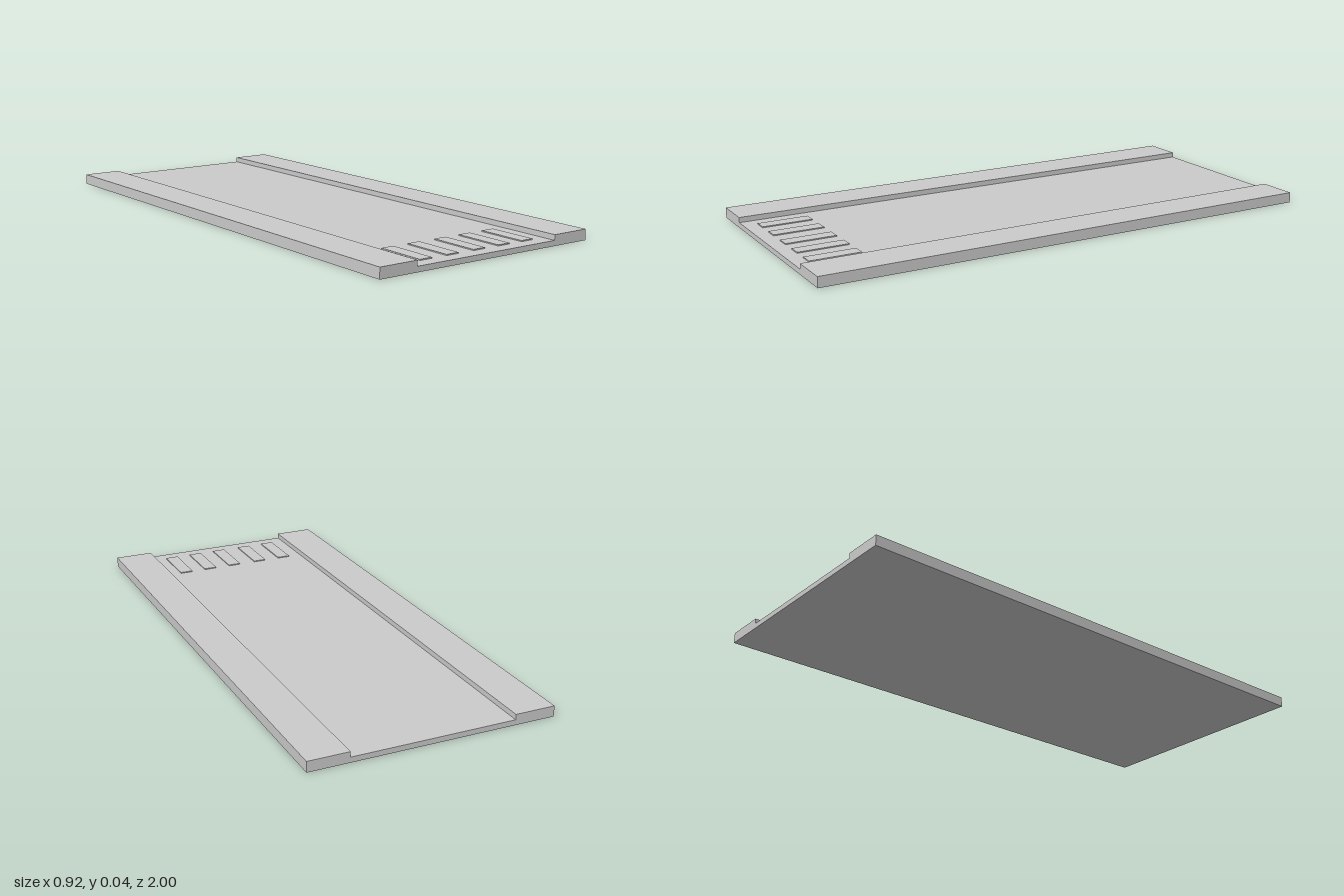
import * as THREE from 'three';

export function createModel() {
  const group = new THREE.Group();
  const material = new THREE.MeshStandardMaterial({ color: 0xcccccc, flatShading: true });

  const halfWidth = 0.46, halfInner = 0.307, floorY = 0.02, railY = 0.04;

  // Channel plate: shallow U cross-section running the full length
  const profile = new THREE.Shape([
    [-halfWidth, 0], [halfWidth, 0], [halfWidth, railY], [halfInner, railY],
    [halfInner, floorY], [-halfInner, floorY], [-halfInner, railY], [-halfWidth, railY],
  ].map(([x, y]) => new THREE.Vector2(x, y)));
  const plateGeometry = new THREE.ExtrudeGeometry(profile, { depth: 2, bevelEnabled: false });
  plateGeometry.translate(0, 0, -1);
  const plate = new THREE.Mesh(plateGeometry, material);
  plate.name = 'channelPlate';
  group.add(plate);

  // Row of thin raised pads near the front end, sunk slightly into the floor
  const padTop = 0.024, padBottom = 0.015;
  const padGeometry = new THREE.BoxGeometry(0.052, padTop - padBottom, 0.195);
  const pads = new THREE.Group();
  pads.name = 'raisedPads';
  [-0.227, -0.113, 0.006, 0.118, 0.227].forEach((x, i) => {
    const pad = new THREE.Mesh(padGeometry, material);
    pad.name = `raisedPad${i + 1}`;
    pad.position.set(x, (padTop + padBottom) / 2, 0.85);
    pads.add(pad);
  });
  group.add(pads);

  return group;
}
